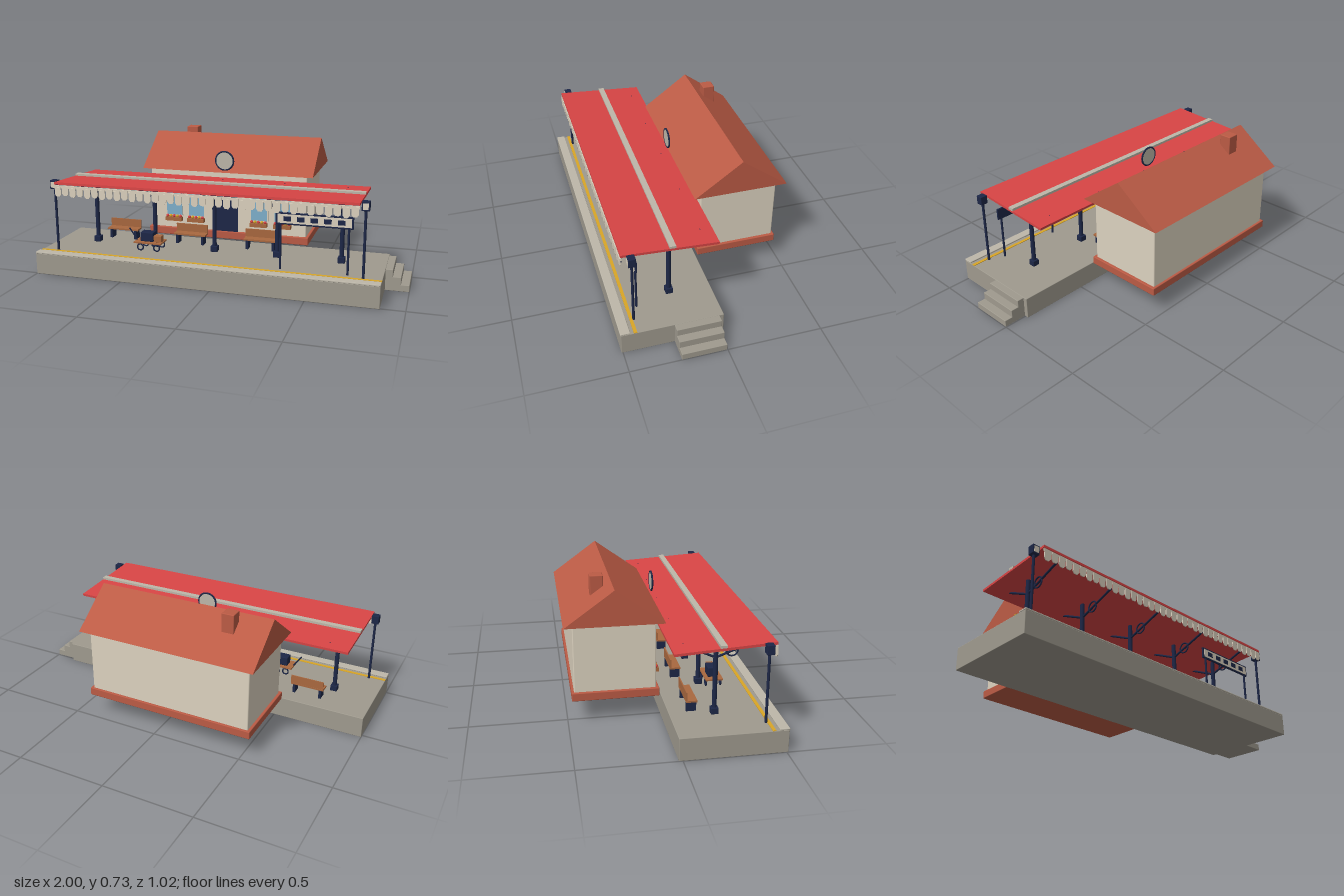
import * as THREE from 'three';
import { RoundedBoxGeometry } from 'three/addons/geometries/RoundedBoxGeometry.js';

const mat = (name, color, side = THREE.FrontSide) => {
  const m = new THREE.MeshStandardMaterial({ color, side });
  m.name = name;
  return m;
};

export function createModel() {
  const root = new THREE.Group();
  root.name = 'railwayStation';
  const stone = mat('stone', 0x9f9a8e);
  const coping = mat('pale stone', 0xbdb7a9);
  const cream = mat('cream plaster', 0xdcd2bf);
  const brick = mat('terracotta', 0xbb5b45);
  const red = mat('canopy red', 0xd84545);
  const navy = mat('navy iron', 0x1d2747);
  const glass = mat('blue glass', 0x7fb0cc);
  const wood = mat('wood', 0xa9683f);
  const yellow = mat('yellow', 0xd9a627);

  const group = (name, parent = root) => {
    const g = new THREE.Group();
    g.name = name;
    parent.add(g);
    return g;
  };
  const add = (parent, name, geometry, material, x = 0, y = 0, z = 0) => {
    const m = new THREE.Mesh(geometry, material);
    m.name = name;
    m.position.set(x, y, z);
    parent.add(m);
    return m;
  };
  // Box from its limits on each axis, optionally with softened edges
  const box = (parent, name, material, [x0, x1], [y0, y1], [z0, z1], r = 0) => {
    const s = [x1 - x0, y1 - y0, z1 - z0];
    const g = r ? new RoundedBoxGeometry(...s, 2, r) : new THREE.BoxGeometry(...s);
    return add(parent, name, g, material, (x0 + x1) / 2, (y0 + y1) / 2, (z0 + z1) / 2);
  };
  // Round bar between two points
  const bar = (parent, name, material, a, b, r, sides = 12) => {
    const p = new THREE.Vector3(...a), q = new THREE.Vector3(...b);
    const d = q.clone().sub(p);
    const m = add(parent, name, new THREE.CylinderGeometry(r, r, d.length(), sides), material);
    m.position.copy(p).add(q).multiplyScalar(0.5);
    m.quaternion.setFromUnitVectors(new THREE.Vector3(0, 1, 0), d.normalize());
    return m;
  };
  const top = 0.117;

  // Platform with coping, safety line and end steps
  const platform = group('platform');
  box(platform, 'platformBase', stone, [-1, 0.875], [0, top], [-0.02, 0.508], 0.003);
  box(platform, 'copingEdge', coping, [-1, 0.875], [top, 0.126], [0.46, 0.51], 0.003);
  box(platform, 'safetyLine', yellow, [-1, 0.875], [top, 0.12], [0.425, 0.442]);
  [[0.913, 0.115], [0.956, 0.077], [1, 0.037]].forEach(([x, h]) =>
    box(platform, 'step', stone, [0.87, x], [0, h], [0.003, 0.236], 0.003));

  // Station house
  const house = group('house');
  box(house, 'plinth', brick, [-0.545, 0.415], [0.12, 0.164], [-0.477, -0.03], 0.004);
  box(house, 'walls', cream, [-0.53, 0.4], [0.15, 0.525], [-0.465, -0.045], 0.006);
  const gable = new THREE.Shape();
  gable.moveTo(-0.254, 0).lineTo(0.254, 0).lineTo(0, 0.184).closePath();
  const roofGeometry = new THREE.ExtrudeGeometry(gable, { depth: 1.004, bevelEnabled: false });
  roofGeometry.rotateY(Math.PI / 2);
  add(house, 'gableRoof', roofGeometry, brick, -0.565, 0.519, -0.255);
  box(house, 'chimney', brick, [-0.392, -0.324], [0.58, 0.73], [-0.36, -0.293], 0.004);

  // Door with glazed transom
  box(house, 'doorFrame', cream, [-0.14, 0.01], [0.164, 0.428], [-0.046, -0.041]);
  box(house, 'door', navy, [-0.131, 0.001], [0.164, 0.375], [-0.046, -0.037]);
  box(house, 'transom', glass, [-0.131, 0.001], [0.378, 0.42], [-0.046, -0.037]);

  // Windows with flower boxes
  [-0.388, -0.252, 0.126, 0.265].forEach((x) => {
    const w = group('window', house);
    w.position.x = x;
    box(w, 'windowFrame', cream, [-0.054, 0.054], [0.235, 0.398], [-0.046, -0.041]);
    box(w, 'windowPane', glass, [-0.047, 0.047], [0.242, 0.391], [-0.046, -0.038]);
    box(w, 'flowerBox', wood, [-0.05, 0.05], [0.208, 0.23], [-0.045, -0.015]);
    for (let i = 0; i < 5; i++)
      add(w, 'flower', new THREE.SphereGeometry(0.009, 8, 6), i % 2 ? yellow : red,
        -0.04 + i * 0.02, 0.236, -0.028);
  });

  // Round clock in front of the roof
  const clock = group('clock');
  clock.position.set(-0.065, 0.59, 0.005);
  add(clock, 'clockRim', new THREE.TorusGeometry(0.052, 0.005, 8, 40), navy);
  add(clock, 'clockFace', new THREE.CylinderGeometry(0.051, 0.051, 0.006, 40), coping)
    .rotation.x = Math.PI / 2;

  // Sloping canopy and its gutter strip
  const canopy = group('canopy');
  add(canopy, 'canopyRoof', new THREE.BoxGeometry(1.64, 0.013, 0.492), red, -0.065, 0.495, 0.221)
    .rotation.x = -0.061;
  box(canopy, 'canopyStrip', coping, [-0.885, 0.755], [0.498, 0.513], [0.194, 0.226]);

  // Valance of pointed tabs
  const tab = new THREE.Shape();
  tab.moveTo(-0.018, 0.052).lineTo(-0.018, 0.012).lineTo(-0.009, 0)
    .lineTo(0.009, 0).lineTo(0.018, 0.012).lineTo(0.018, 0.052).closePath();
  const tabGeometry = new THREE.ExtrudeGeometry(tab, { depth: 0.005, bevelEnabled: false });
  const tabs = 38;
  for (let i = 0; i < tabs; i++)
    add(canopy, 'valanceTab', tabGeometry, cream,
      -0.885 + (1.64 * (i + 0.5)) / tabs, 0.438 + (i % 2) * 0.006, 0.465);
  box(canopy, 'valanceRail', cream, [-0.885, 0.755], [0.484, 0.5], [0.462, 0.467]);

  // Canopy columns with braces and ring ornaments
  [-0.77, -0.415, -0.065, 0.29, 0.64].forEach((x) => {
    const c = group('canopyColumn');
    c.position.x = x;
    bar(c, 'shaft', navy, [0, top, 0.2], [0, 0.488, 0.2], 0.012);
    box(c, 'columnBase', navy, [-0.019, 0.019], [top, 0.15], [0.181, 0.219], 0.003);
    bar(c, 'frontBrace', navy, [0, 0.41, 0.2], [0, 0.492, 0.42], 0.006, 8);
    bar(c, 'backBrace', navy, [0, 0.41, 0.2], [0, 0.487, 0.035], 0.006, 8);
    add(c, 'braceRing', new THREE.TorusGeometry(0.029, 0.004, 8, 24), navy, 0, 0.443, 0.28)
      .rotation.y = Math.PI / 2;
  });

  // Lamp posts at both ends
  [-0.907, 0.78].forEach((x) => {
    const l = group('lampPost');
    l.position.x = x;
    bar(l, 'post', navy, [0, top, 0.42], [0, 0.475, 0.42], 0.007);
    box(l, 'lantern', navy, [-0.02, 0.02], [0.47, 0.518], [0.402, 0.44], 0.003);
    box(l, 'lanternGlass', cream, [-0.014, 0.014], [0.478, 0.51], [0.438, 0.442]);
  });

  // Platform sign on two posts, with plain dark plates
  const sign = group('platformSign');
  box(sign, 'signFrame', navy, [0.324, 0.72], [0.357, 0.422], [0.38, 0.39], 0.003);
  box(sign, 'signPanel', cream, [0.333, 0.711], [0.366, 0.413], [0.388, 0.392]);
  for (let i = 0; i < 5; i++) {
    const x = 0.384 + i * 0.069;
    box(sign, 'signPlate', navy, [x - 0.019, x + 0.019], [0.377, 0.402], [0.391, 0.394]);
  }
  [0.348, 0.697].forEach((x) =>
    bar(sign, 'signPost', navy, [x, top, 0.385], [x, 0.37, 0.385], 0.006));

  // Benches
  [-0.652, -0.241, 0.172].forEach((x) => {
    const b = group('bench');
    b.position.x = x;
    box(b, 'benchSeat', wood, [-0.094, 0.094], [0.168, 0.177], [0.066, 0.122]);
    box(b, 'benchBack', wood, [-0.094, 0.094], [0.178, 0.223], [0.066, 0.072]);
    [-0.075, 0.075].forEach((lx) =>
      box(b, 'benchLeg', navy, [lx - 0.007, lx + 0.007], [top, 0.17], [0.068, 0.119]));
  });

  // Luggage trolley
  const cart = group('luggageTrolley');
  box(cart, 'trolleyDeck', wood, [-0.5, -0.34], [0.161, 0.169], [0.224, 0.316]);
  [-0.463, -0.367].forEach((x) => [0.231, 0.309].forEach((z) =>
    add(cart, 'trolleyWheel', new THREE.TorusGeometry(0.017, 0.004, 8, 20), navy, x, 0.14, z)));
  bar(cart, 'trolleyHandle', navy, [-0.495, 0.165, 0.27], [-0.542, 0.234, 0.27], 0.004, 8);
  box(cart, 'trunk', navy, [-0.467, -0.392], [0.169, 0.221], [0.242, 0.296], 0.004);
  box(cart, 'suitcase', wood, [-0.389, -0.344], [0.169, 0.206], [0.257, 0.295], 0.003);

  return root;
}
